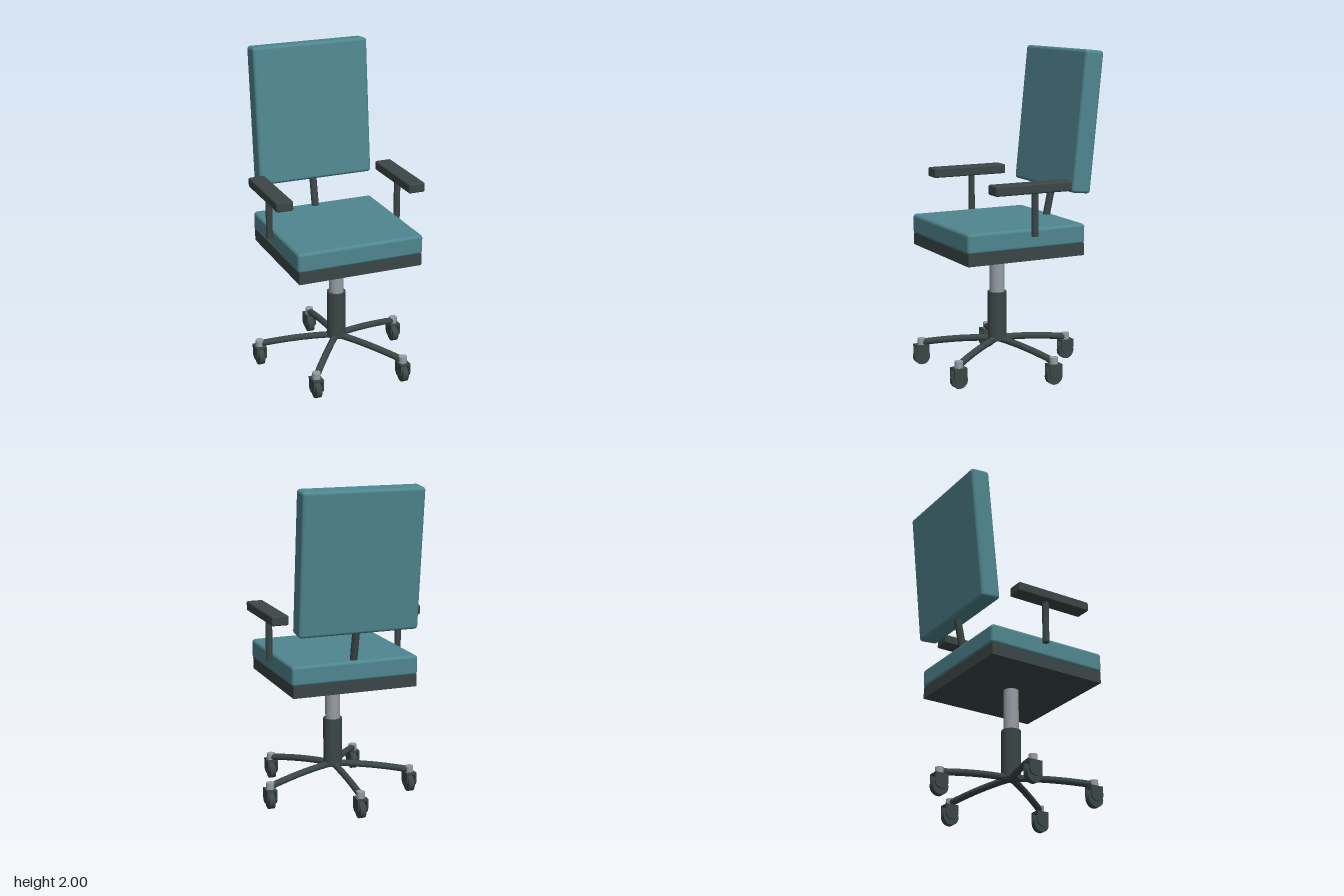
import * as THREE from 'three';
import { RoundedBoxGeometry } from 'three/addons/geometries/RoundedBoxGeometry.js';

const mat = (name, color) => {
  const m = new THREE.MeshStandardMaterial({ color });
  m.name = name;
  return m;
};

export function createModel() {
  const fabric = mat('teal fabric', 0x4f868f);
  const plastic = mat('dark plastic', 0x3b4646);
  const metal = mat('grey metal', 0x979ca4);

  const chair = new THREE.Group();
  chair.name = 'officeChair';
  const cx = -0.004, cz = 0.045; // swivel axis

  const add = (parent, name, geometry, material, x, y, z) => {
    const mesh = new THREE.Mesh(geometry, material);
    mesh.name = name;
    mesh.position.set(x, y, z);
    parent.add(mesh);
    return mesh;
  };
  // round bar between two points
  const bar = (parent, name, a, b, r, material) => {
    const path = new THREE.LineCurve3(new THREE.Vector3(...a), new THREE.Vector3(...b));
    const mid = path.getPoint(0.5);
    const mesh = add(parent, name, new THREE.CylinderGeometry(r, r, path.getLength(), 20), material, mid.x, mid.y, mid.z);
    mesh.quaternion.setFromUnitVectors(new THREE.Vector3(0, 1, 0), path.getTangent(0));
    return mesh;
  };

  // seat
  add(chair, 'seatCushion', new RoundedBoxGeometry(0.81, 0.124, 0.79, 4, 0.02), fabric, cx, 0.893, cz);
  add(chair, 'seatPan', new THREE.BoxGeometry(0.795, 0.075, 0.78), plastic, cx, 0.7975, cz);

  // backrest, leaning back on its post
  const back = add(chair, 'backrest', new RoundedBoxGeometry(0.757, 0.865, 0.125, 4, 0.02), fabric, cx, 1.567, -0.381);
  back.rotation.x = -0.1;
  bar(chair, 'backrestPost', [cx, 0.86, -0.285], [cx, 1.2, -0.357], 0.023, plastic);

  // armrests
  for (const side of [-1, 1]) {
    add(chair, 'armrestPad', new RoundedBoxGeometry(0.106, 0.06, 0.505, 3, 0.01), plastic, cx + side * 0.428, 1.205, 0.043);
    bar(chair, 'armrestPost', [cx + side * 0.428, 0.912, 0.012], [cx + side * 0.428, 1.18, 0.012], 0.0205, plastic);
  }

  // gas lift column
  bar(chair, 'liftPiston', [cx, 0.47, cz], [cx, 0.77, cz], 0.047, metal);
  bar(chair, 'liftSleeve', [cx, 0.185, cz], [cx, 0.495, cz], 0.06, plastic);

  // five legs with casters, all wheels rolling front to back
  const legPath = new THREE.QuadraticBezierCurve3(
    new THREE.Vector3(0, 0.193, 0), new THREE.Vector3(0, 0.192, 0.22), new THREE.Vector3(0, 0.143, 0.485));
  const legGeometry = new THREE.TubeGeometry(legPath, 16, 0.021, 14);
  const wheelGeometry = new THREE.CylinderGeometry(0.052, 0.052, 0.036, 28).rotateZ(Math.PI / 2);

  // fork cheek: rounded below, square on top
  const cheek = new THREE.Shape();
  cheek.moveTo(-0.042, 0.127);
  cheek.lineTo(-0.042, 0.068);
  cheek.quadraticCurveTo(-0.035, 0.036, 0, 0.034);
  cheek.quadraticCurveTo(0.035, 0.036, 0.042, 0.068);
  cheek.lineTo(0.042, 0.127);
  const cheekGeometry = new THREE.ExtrudeGeometry(cheek, { depth: 0.01, bevelEnabled: false })
    .translate(0, 0, -0.005).rotateY(Math.PI / 2);

  for (let i = 0; i < 5; i++) {
    const angle = Math.PI + (i * Math.PI * 2) / 5 - 0.016;
    const leg = add(chair, 'baseLeg', legGeometry, plastic, cx, 0, cz);
    leg.rotation.y = angle;

    const caster = new THREE.Group();
    caster.name = 'caster';
    caster.position.set(cx + Math.sin(angle) * 0.49, 0, cz + Math.cos(angle) * 0.49);
    chair.add(caster);
    bar(caster, 'casterStem', [0, 0.118, 0], [0, 0.168, 0], 0.026, metal);
    add(caster, 'casterForkTop', new THREE.BoxGeometry(0.068, 0.012, 0.084), plastic, 0, 0.122, 0);
    for (const side of [-1, 1]) add(caster, 'casterForkCheek', cheekGeometry, plastic, side * 0.028, 0, 0);
    add(caster, 'casterWheel', wheelGeometry, plastic, 0, 0.052, 0);
    bar(caster, 'casterAxle', [-0.034, 0.052, 0], [0.034, 0.052, 0], 0.01, plastic);
  }
  return chair;
}
